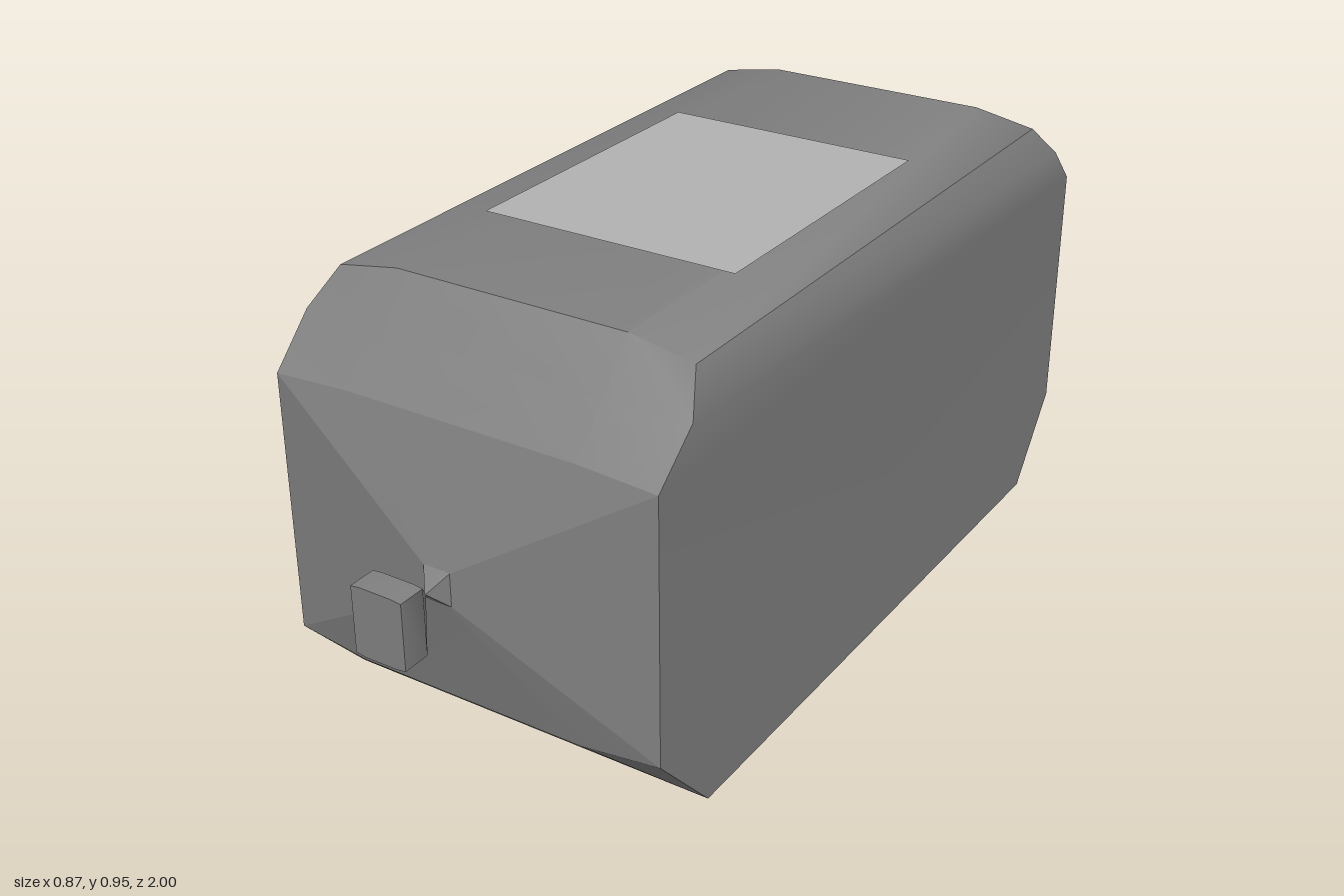
import * as THREE from 'three';
import { toCreasedNormals } from 'three/addons/utils/BufferGeometryUtils.js';

const MID = 0.467; // height of the nozzle axis
const BODY = 0x808080;
const PANEL = 0xb1b1b1;

// Fans of corner loops (counter-clockwise from outside) to a creased mesh
function meshFromFaces(name, faces, crease) {
  const pos = [];
  for (const f of faces) {
    for (let i = 1; i < f.length - 1; i++) pos.push(...f[0], ...f[i], ...f[i + 1]);
  }
  const geo = new THREE.BufferGeometry();
  geo.setAttribute('position', new THREE.Float32BufferAttribute(pos, 3));
  const mesh = new THREE.Mesh(
    toCreasedNormals(geo, crease),
    new THREE.MeshStandardMaterial({ color: BODY })
  );
  mesh.name = name;
  return mesh;
}

// Side walls between two rings of equal point count
function loft(a, b) {
  return a.map((p, i) => {
    const j = (i + 1) % a.length;
    return [p, a[j], b[j], b[i]];
  });
}

function panel(name, w, h) {
  const mesh = new THREE.Mesh(
    new THREE.PlaneGeometry(w, h),
    new THREE.MeshStandardMaterial({ color: PANEL, side: THREE.DoubleSide })
  );
  mesh.name = name;
  return mesh;
}

export function createModel() {
  const group = new THREE.Group();
  group.name = 'nozzleBox';

  // Rows wrapping round the body: inner y, z, then outer x, y, z
  const rows = [
    [0, 0.59, 0.43, 0, 0.59], // bottom front
    [0, -0.85, 0.43, 0, -0.85], // bottom back
    [0.19, -0.992, 0.43, 0.19, -0.992], // back lower
    [0.76, -0.992, 0.43, 0.76, -0.992], // back upper
    [0.85, -0.912, 0.435, 0.85, -0.895], // back shoulder
    [0.945, -0.83, 0.4, 0.92, -0.83], // top back
    [0.945, 0.59, 0.4, 0.92, 0.59], // top front
    [0.85, 0.672, 0.435, 0.845, 0.655], // front shoulder
    [0.76, 0.755, 0.43, 0.75, 0.755], // front upper
    [0.167, 0.765, 0.43, 0.18, 0.755], // front lower
  ].map(([y, z, ox, oy, oz]) => [[-ox, oy, oz], [-0.26, y, z], [0.26, y, z], [ox, oy, oz]]);

  const faces = [];
  rows.forEach((row, i) => {
    if (i === 8) return; // front is closed by the funnel
    const next = rows[(i + 1) % rows.length];
    for (let k = 0; k < 3; k++) faces.push([row[k], next[k], next[k + 1], row[k + 1]]);
  });

  // Side walls, shoulders and the narrow bands along the top edges
  for (const loop of [[0, 1, 2, 3, 8, 9], [3, 4, 7, 8], [4, 5, 6, 7]]) {
    faces.push(loop.map((i) => rows[i][3]));
    faces.push(loop.map((i) => rows[i][0]).reverse());
  }
  group.add(meshFromFaces('body', faces, 0.82));

  // Faceted funnel drawn in to a pinched neck
  const rim = [...rows[9], ...[...rows[8]].reverse()];
  const ring = (sx, sy, z) => rim.map(([x, y]) => [x * sx, MID + (y - MID) * sy, z]);
  const neck = ring(0.07, 0.125, 0.835);
  const pinch = ring(0.003, 0.003, 0.87);
  group.add(meshFromFaces('funnel', [...loft(rim, neck), ...loft(neck, pinch)], 0.15));

  // Nozzle flaring out of the neck
  const flare = ring(0.132, 0.247, 0.94);
  const end = ring(0.132, 0.247, 1);
  group.add(meshFromFaces('nozzle', [...loft(pinch, flare), ...loft(flare, end), end], 0.76));

  // Flat panels on the top and the back
  const top = panel('topPanel', 0.58, 0.71);
  top.rotation.x = -Math.PI / 2;
  top.position.set(0, 0.948, -0.075);
  const back = panel('backPanel', 0.56, 0.45);
  back.rotation.y = Math.PI;
  back.position.set(0, 0.465, -0.997);
  group.add(top, back);

  return group;
}
